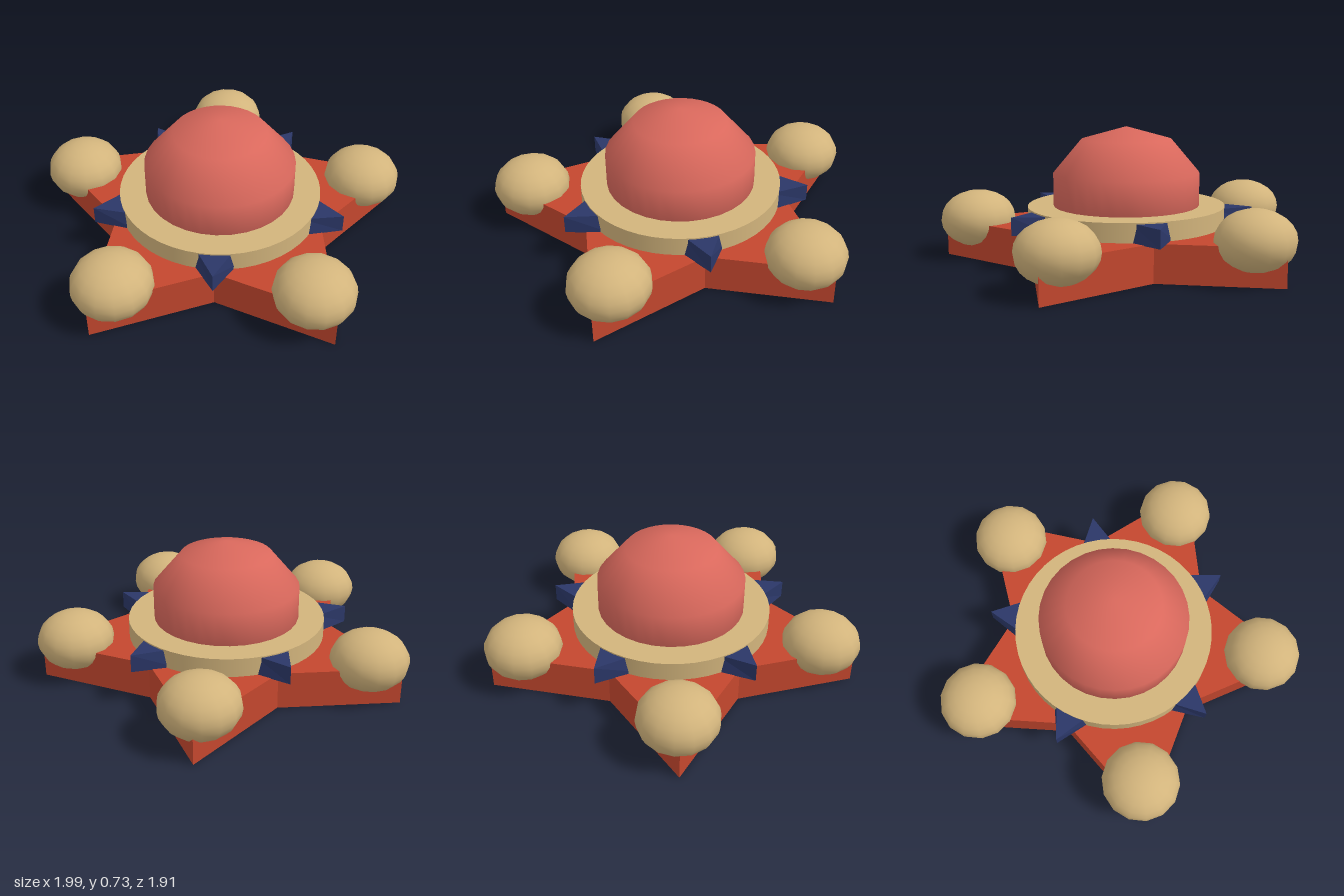
import * as THREE from 'three';

export function createModel() {
  const model = new THREE.Group();
  model.name = 'starOrnament';
  const material = (name, color) => {
    const m = new THREE.MeshStandardMaterial({ color });
    m.name = name;
    return m;
  };
  const red = material('brickRed', 0xc4472e);
  const tan = material('sand', 0xd2b47c);
  const coral = material('coral', 0xd9685c);
  const navy = material('navy', 0x2b3768);

  // Everything radiates from this centre, a little ahead of the origin
  const body = new THREE.Group();
  body.name = 'body';
  body.position.z = 0.08;
  model.add(body);

  const add = (name, geometry, mat, x = 0, y = 0, z = 0) => {
    const mesh = new THREE.Mesh(geometry, mat);
    mesh.name = name;
    mesh.position.set(x, y, z);
    body.add(mesh);
    return mesh;
  };

  // Upright prism from a flat outline (outline y points to the back)
  const prism = (points, depth) =>
    new THREE.ExtrudeGeometry(new THREE.Shape(points), { depth, bevelEnabled: false }).rotateX(-Math.PI / 2);

  // Five-pointed star base
  const outline = [];
  for (let i = 0; i < 10; i++) {
    const r = i % 2 ? 0.57 : 1.01;
    const a = -i * Math.PI / 5;
    outline.push(new THREE.Vector2(r * Math.sin(a), r * Math.cos(a)));
  }
  add('starBase', prism(outline, 0.2), red);

  // Round plate and dome
  add('plate', new THREE.CylinderGeometry(0.54, 0.54, 0.1, 48), tan, 0, 0.25, 0);
  add('dome', new THREE.SphereGeometry(0.42, 32, 5).scale(1, 0.86, 1), coral, 0, 0.367, 0);

  // Wedge spike pointing to the front, flaring slightly towards its foot
  const spike = prism([
    new THREE.Vector2(0, -0.686),
    new THREE.Vector2(0.1, -0.49),
    new THREE.Vector2(-0.1, -0.49),
  ], 0.095);
  const p = spike.attributes.position;
  for (let i = 0; i < p.count; i++) {
    if (p.getY(i) < 0.01) p.setX(i, p.getX(i) * 1.2);
  }
  spike.computeVertexNormals();

  // Flattened balls on the tips, spikes over the notches
  const ball = new THREE.SphereGeometry(0.207, 14, 12).scale(1, 0.76, 1);
  for (let i = 0; i < 5; i++) {
    const a = i * Math.PI * 2 / 5;
    add('tipBall', ball, tan, 0.83 * Math.sin(a), 0.212, -0.83 * Math.cos(a));
    add('spike', spike, navy, 0, 0.198, 0).rotation.y = a;
  }
  return model;
}
